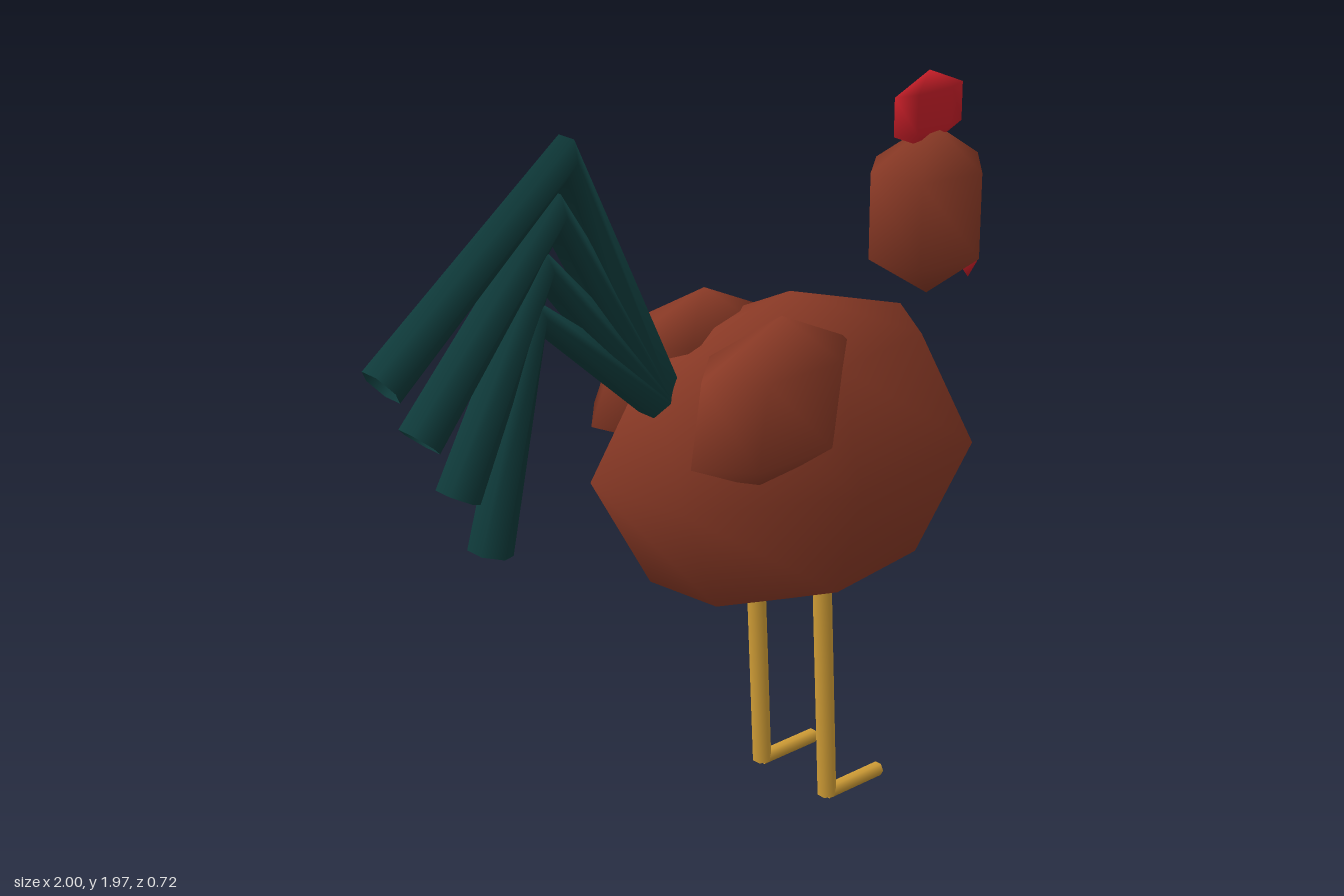
import * as THREE from 'three';
import { mergeVertices } from 'three/addons/utils/BufferGeometryUtils.js';

const material = (name, color, side = THREE.FrontSide) => {
  const m = new THREE.MeshStandardMaterial({ color, side });
  m.name = name;
  return m;
};

export function createModel() {
  const brown = material('brown plumage', 0x8b3a26);
  const teal = material('dark teal feathers', 0x0f3b3b, THREE.DoubleSide);
  const red = material('red comb', 0xc81e28);
  const yellow = material('yellow legs', 0xd4a037, THREE.DoubleSide);

  const model = new THREE.Group();
  model.name = 'rooster';

  const add = (name, geometry, mat, x = 0, y = 0, z = 0) => {
    const mesh = new THREE.Mesh(geometry, mat);
    mesh.name = name;
    mesh.position.set(x, y, z);
    model.add(mesh);
    return mesh;
  };

  // Low-poly ellipsoid, reshaped by an optional rule, with smooth normals
  const blob = (rx, ry, rz, sides, rings, rule) => {
    let g = new THREE.SphereGeometry(1, sides, rings);
    g.rotateY(Math.PI);
    g.scale(rx, ry, rz);
    g.deleteAttribute('uv');
    g.deleteAttribute('normal');
    g = mergeVertices(g, 1e-4);
    const p = g.attributes.position;
    const v = new THREE.Vector3();
    for (let i = 0; rule && i < p.count; i++) {
      v.fromBufferAttribute(p, i);
      rule(v);
      p.setXYZ(i, v.x, v.y, v.z);
    }
    g.computeVertexNormals();
    return g;
  };

  // Body, slightly skewed
  add('body', blob(0.57, 0.433, 0.37, 7, 4, (v) => { v.x += 0.12 * v.z; }), brown, 0.3, 0.998, 0);

  // Wings, leaning forward at the top
  for (const side of [1, -1]) {
    add(side > 0 ? 'leftWing' : 'rightWing', blob(0.285, 0.205, 0.165, 6, 3, (v) => {
      v.x += 0.3 * v.y - 0.1 * side * v.z;
      v.z -= 0.15 * side * v.y;
    }), brown, 0.075, 1.236, 0.175 * side);
  }

  // Head: six uneven sides between two pointed ends
  const outline = [[0.18, 0], [0.12, -0.13], [-0.05, -0.15], [-0.17, -0.05], [-0.14, 0.11], [0.05, 0.14]];
  add('head', blob(0.2, 0.235, 0.2, 6, 3, (v) => {
    if (Math.hypot(v.x, v.z) < 0.01) return;
    const turn = Math.round(Math.atan2(-v.z, v.x) / (Math.PI / 3));
    [v.x, v.z] = outline[(turn + 6) % 6];
  }), brown, 0.8, 1.547, 0);

  // Comb, wattle and beak
  add('comb', blob(0.145, 0.105, 0.032, 6, 3), red, 0.787, 1.818, 0);
  add('wattle', blob(0.04, 0.092, 0.025, 5, 3), red, 0.96, 1.412, 0);
  add('beak', blob(0.026, 0.06, 0.03, 4, 2), yellow, 0.952, 1.585, -0.038);
  add('beakSide', blob(0.012, 0.03, 0.012, 4, 2), yellow, 0.925, 1.585, 0.058);

  // Tail feathers: each rises to a sharp bend and falls backwards
  const feathers = [
    [-0.43, 1.925, -0.97, 1.49],
    [-0.465, 1.8, -0.87, 1.33],
    [-0.505, 1.675, -0.765, 1.16],
    [-0.53, 1.565, -0.675, 0.99],
  ];
  feathers.forEach(([px, py, ex, ey], i) => {
    const curve = new THREE.CatmullRomCurve3([
      new THREE.Vector3(-0.15, 1.285 - 0.01 * i, 0),
      new THREE.Vector3(px, py, 0),
      new THREE.Vector3(ex, ey, 0),
    ]);
    curve.getUtoTmapping = (u) => u; // keeps the middle ring on the bend
    add('tailFeather' + (i + 1), new THREE.TubeGeometry(curve, 2, 0.057, 6), teal);
  });

  // Legs and feet
  const rod = (name, a, b, r) => {
    const from = new THREE.Vector3(...a), to = new THREE.Vector3(...b);
    const dir = to.clone().sub(from);
    const mesh = add(name, new THREE.CylinderGeometry(r, r, dir.length(), 6), yellow);
    mesh.position.copy(from).add(to).multiplyScalar(0.5);
    mesh.quaternion.setFromUnitVectors(new THREE.Vector3(0, 1, 0), dir.normalize());
  };
  for (const side of [1, -1]) {
    const z = 0.13 * side, label = side > 0 ? 'left' : 'right';
    rod(label + 'Leg', [0.34, 0.015, z], [0.308, 0.645, z], 0.026);
    rod(label + 'Foot', [0.34, 0.02, z], [0.535, 0.022, z], 0.02);
  }
  return model;
}
